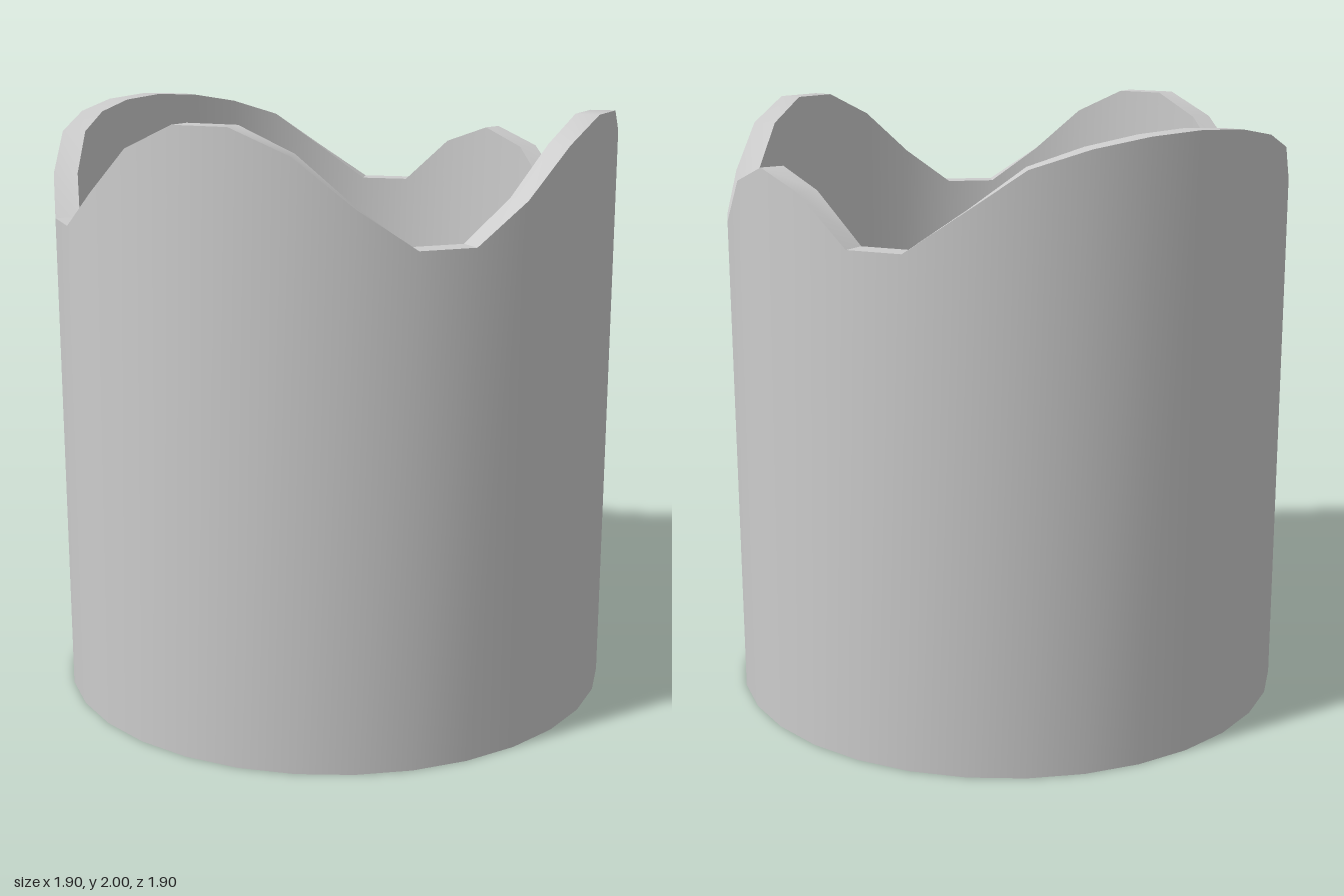
import * as THREE from 'three';
import { toCreasedNormals } from 'three/addons/utils/BufferGeometryUtils.js';

const OUTER = 0.95, INNER = 0.87, VALLEY = 1.645;

// Rim heights counter-clockwise from the front (+z), one per side: four lobes
// separated by flat valleys one side wide.
const frontLobe = [VALLEY, 1.77, 1.92, 2, 2, 1.92, 1.77, VALLEY];
const smallLobe = [VALLEY, 1.8, 1.86, 1.8, VALLEY];
const backLobe = [VALLEY, 1.77, 1.895, 1.95, 1.98, 1.99, 1.98, 1.95, 1.895, 1.77, VALLEY];
const rim = [VALLEY, ...frontLobe, ...smallLobe, ...backLobe, ...frontLobe.slice(0, -1)];
const SIDES = rim.length; // 32

function ring(radius, heightAt) {
  return Array.from({ length: SIDES }, (_, k) => {
    const a = (k / SIDES) * Math.PI * 2;
    return [radius * Math.sin(a), heightAt(k), radius * Math.cos(a)];
  });
}

export function createModel() {
  const top = (k) => rim[k];
  const bottom = () => 0;

  // Closed wall section: outer bottom, outer top, inner top, inner bottom
  const rings = [ring(OUTER, bottom), ring(OUTER, top), ring(INNER, top), ring(INNER, bottom)];
  const index = [];
  for (let r = 0; r < 4; r++) {
    for (let k = 0; k < SIDES; k++) {
      const n = (k + 1) % SIDES, lo = r * SIDES, hi = ((r + 1) % 4) * SIDES;
      index.push(lo + k, lo + n, hi + n, lo + k, hi + n, hi + k);
    }
  }
  const geometry = new THREE.BufferGeometry();
  geometry.setAttribute('position', new THREE.Float32BufferAttribute(rings.flat(2), 3));
  geometry.setIndex(index);

  // Smooth round walls, sharp rim edges and valley corners
  const wall = new THREE.Mesh(
    toCreasedNormals(geometry, 0.5),
    new THREE.MeshStandardMaterial({ color: 0xcccccc })
  );
  wall.name = 'wavyRimTube';

  const group = new THREE.Group();
  group.name = 'scallopedSleeve';
  group.add(wall);
  return group;
}
